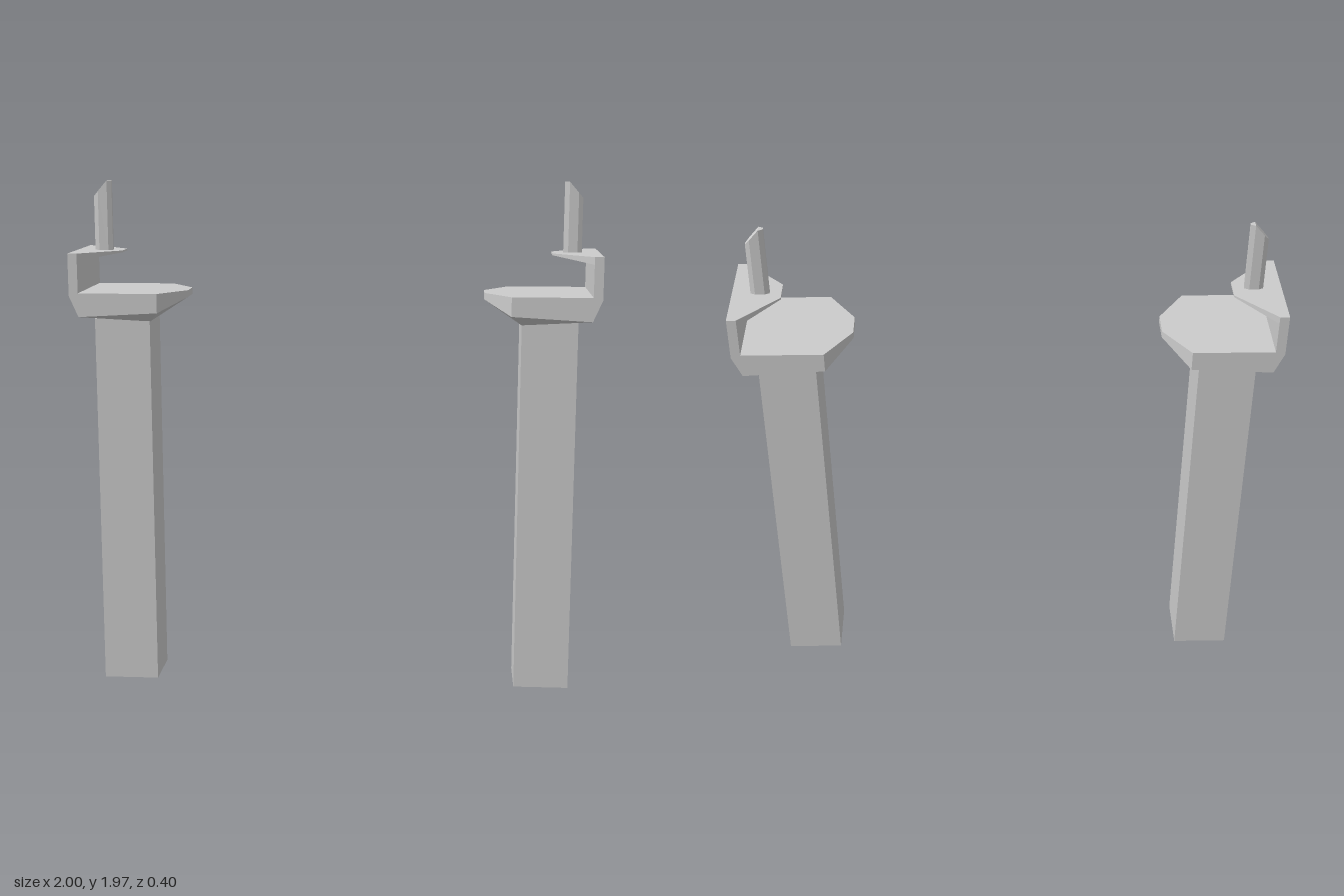
import * as THREE from 'three';
import { ConvexGeometry } from 'three/addons/geometries/ConvexGeometry.js';

const grey = new THREE.MeshStandardMaterial({ color: 0xcccccc, flatShading: true });
const ZC = 0.0075; // the head sits slightly off the column's centre line

// Faceted solid from [x, y, halfWidth] points, each mirrored across z = zc
function facetedPart(name, points, zc = ZC) {
  const corners = points.flatMap(([x, y, w]) => [
    new THREE.Vector3(x, y, zc + w),
    new THREE.Vector3(x, y, zc - w),
  ]);
  const mesh = new THREE.Mesh(new ConvexGeometry(corners), grey);
  mesh.name = name;
  return mesh;
}

function createPost(name) {
  const post = new THREE.Group();
  post.name = name;

  // Square column
  const column = new THREE.Mesh(new THREE.BoxGeometry(0.212, 1.446, 0.212), grey);
  column.name = 'column';
  column.position.set(0.814, 0.723, 0);
  post.add(column);

  const W = 0.1925; // half depth of the head

  // Platform with chamfered nose and sloping underside
  post.add(facetedPart('platform', [
    [0.567, 1.55, 0.05], [0.665, 1.55, W], [0.965, 1.55, W],
    [0.567, 1.525, 0.05], [0.665, 1.477, W], [0.965, 1.46, W],
    [0.707, 1.435, 0.107],
  ]));

  // Upright back wall with bevelled lower edge
  post.add(facetedPart('backWall', [
    [0.965, 1.46, W], [0.965, 1.7, W], [1, 1.7, W], [1, 1.54, W],
  ]));

  // Tapered ledge overhanging the platform
  post.add(facetedPart('ledge', [
    [0.965, 1.7, W], [0.82, 1.7, 0.045],
    [0.965, 1.672, W], [0.82, 1.693, 0.045],
  ]));

  // Thin blade with slanted tip
  const bladeSection = [[0.863, 0.006], [0.88, 0.014], [0.915, 0.014], [0.932, 0.006]];
  post.add(facetedPart('blade', bladeSection.flatMap(([x, w]) => [
    [x, 1.682, w],
    [x, 1.965 - Math.max(0, x - 0.88) * 1.15, w],
  ]), 0));

  return post;
}

export function createModel() {
  const model = new THREE.Group();
  model.name = 'postPair';
  const leftPost = createPost('leftPost');
  // The other post is the same part turned half way round
  const rightPost = createPost('rightPost');
  rightPost.rotation.y = Math.PI;
  model.add(leftPost, rightPost);
  return model;
}
